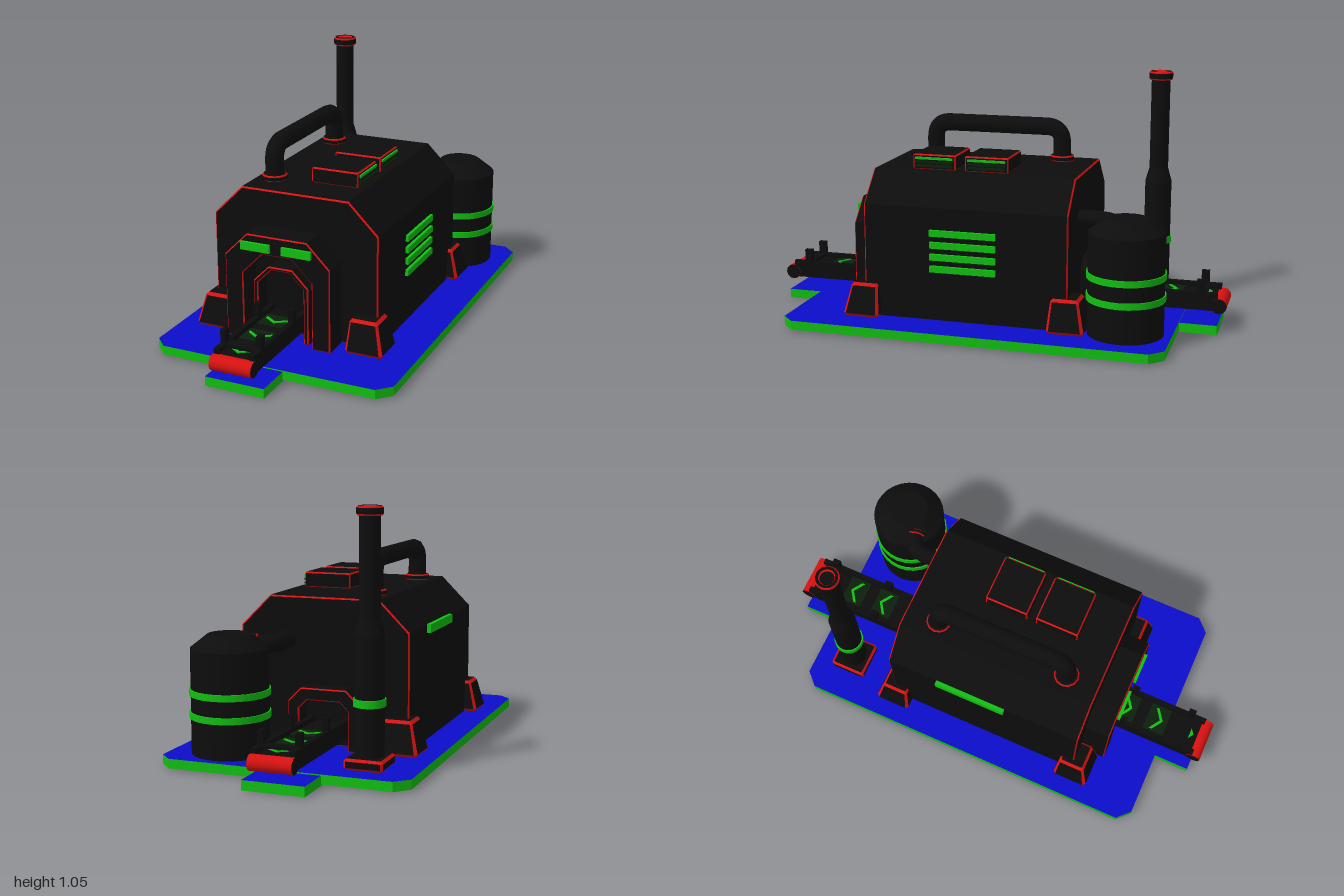
import * as THREE from 'three';

const mat = (name, color) => {
  const m = new THREE.MeshStandardMaterial({ color });
  m.name = name;
  return m;
};

export function createModel() {
  const dark = mat('charcoal', 0x0d0d0d);
  const red = mat('red trim', 0xd81111);
  const green = mat('green light', 0x11c011);
  const blue = mat('blue floor', 0x0d0dcc);
  const darkGreen = mat('dark green belt', 0x0c200c);
  const root = new THREE.Group();
  const CX = -0.0525; // centre line of the conveyor and portals

  const add = (name, geo, material, x = 0, y = 0, z = 0) => {
    const mesh = new THREE.Mesh(geo, material);
    mesh.name = name;
    mesh.position.set(x, y, z);
    root.add(mesh);
    return mesh;
  };
  const box = (name, material, w, h, d, x, y, z) =>
    add(name, new THREE.BoxGeometry(w, h, d), material, x, y, z);

  // Sort triangles into material groups by their face normal
  const paintFaces = (geo, pick, count) => {
    const g = geo.index ? geo.toNonIndexed() : geo;
    const p = g.attributes.position, old = g.attributes.normal;
    const bins = Array.from({ length: count }, () => []);
    const v = [0, 1, 2].map(() => new THREE.Vector3());
    const tri = new THREE.Triangle(), n = new THREE.Vector3();
    for (let i = 0; i < p.count; i += 3) {
      v.forEach((q, k) => q.fromBufferAttribute(p, i + k));
      tri.set(...v).getNormal(n);
      if (n.lengthSq() > 0.5) bins[pick(n)].push(i, i + 1, i + 2);
    }
    const out = new THREE.BufferGeometry(), pos = [], nor = [];
    let start = 0;
    bins.forEach((b, k) => {
      b.forEach(i => {
        pos.push(p.getX(i), p.getY(i), p.getZ(i));
        nor.push(old.getX(i), old.getY(i), old.getZ(i));
      });
      out.addGroup(start, b.length, k);
      start += b.length;
    });
    out.setAttribute('position', new THREE.Float32BufferAttribute(pos, 3));
    out.setAttribute('normal', new THREE.Float32BufferAttribute(nor, 3));
    return out;
  };
  const edgeMats = [dark, red];

  const extrude = (pts, depth, b) => new THREE.ExtrudeGeometry(
    new THREE.Shape(pts.map(q => new THREE.Vector2(...q))),
    { depth: depth - 2 * b, bevelEnabled: b > 0, bevelThickness: b, bevelSize: b, bevelOffset: -b, bevelSegments: 1 }
  ).translate(0, 0, b);

  // Prism along z whose end bevels are red
  const trimmedPrism = (name, pts, z0, z1, b = 0.006) => add(name, paintFaces(
    extrude(pts, z1 - z0, b),
    n => (Math.abs(n.z) > 0.1 && Math.abs(n.z) < 0.95 ? 1 : 0), 2), edgeMats, 0, 0, z0);

  const octagon = (hw, hd, c) => [
    [-hw + c, -hd], [hw - c, -hd], [hw, -hd + c], [hw, hd - c],
    [hw - c, hd], [-hw + c, hd], [-hw, hd - c], [-hw, -hd + c]];

  // Box standing on y = 0 with every edge bevelled in red
  const trimmedBox = (w, h, d, b) => paintFaces(
    extrude(octagon(w / 2, d / 2, b), h, b).rotateX(-Math.PI / 2),
    n => (Math.max(Math.abs(n.x), Math.abs(n.y), Math.abs(n.z)) < 0.95 ? 1 : 0), 2);

  const arch = (hw, top, c, cx = CX) => [
    [cx - hw, 0.045], [cx - hw, top - c], [cx - hw + c, top],
    [cx + hw - c, top], [cx + hw, top - c], [cx + hw, 0.045]];

  // Floor slabs: blue on top, green around the rim, dark underneath
  const slab = (name, pts, y, h, x) => add(name, paintFaces(
    extrude(pts, h, 0).rotateX(-Math.PI / 2),
    n => (n.y > 0.5 ? 0 : n.y < -0.5 ? 2 : 1), 3), [blue, green, dark], x, y, 0);
  slab('baseSlab', octagon(0.52, 0.81, 0.055), 0.006, 0.039, 0);
  slab('conveyorSlab', octagon(0.128, 0.967, 0.001), 0, 0.04, CX);

  // Main hall and portals
  trimmedPrism('hall', arch(0.365, 0.655, 0.128, -0.025), -0.39, 0.49);
  const portal = (name, outer, inner, z0, z1) =>
    trimmedPrism(name, [...arch(...outer), ...arch(...inner).reverse()], z0, z1, 0.005);
  portal('frontPortal', [0.233, 0.5, 0.1], [0.153, 0.42, 0.09], 0.485, 0.6);
  portal('frontInnerFrame', [0.123, 0.36, 0.07], [0.102, 0.345, 0.062], 0.485, 0.57);
  portal('backPortal', [0.153, 0.295, 0.055], [0.105, 0.245, 0.035], -0.47, -0.385);
  for (const s of [-1, 1])
    box('portalLight', green, 0.13, 0.034, 0.014, CX + s * 0.091, 0.452, 0.606);

  // Corner buttresses, leaning inward toward the top
  for (const sx of [-1, 1]) for (const sz of [-1, 1]) {
    const g = trimmedBox(0.165, 0.14, 0.16, 0.012);
    const p = g.attributes.position;
    for (let i = 0; i < p.count; i++) {
      const t = p.getY(i) / 0.14;
      p.setX(i, p.getX(i) * (1 - 0.28 * t) - sx * 0.0125 * t);
      p.setZ(i, p.getZ(i) * (1 - 0.28 * t) - sz * 0.01 * t);
    }
    g.computeVertexNormals();
    add('buttress', g, edgeMats, -0.028 + sx * 0.34, 0.045, sz > 0 ? 0.496 : -0.39);
  }

  // Side lights
  for (let i = 0; i < 4; i++)
    box('sideVent', green, 0.014, 0.027, 0.285, 0.346, 0.268 + i * 0.051, 0.055);
  box('leftLightBar', green, 0.018, 0.036, 0.315, -0.399, 0.515, -0.005);

  // Roof units with glowing louvres
  for (const z of [0, 0.23]) {
    add('roofUnit', trimmedBox(0.208, 0.067, 0.19, 0.006), edgeMats, 0.077, 0.653, z);
    for (let i = 0; i < 3; i++)
      box('roofLouvre', i === 2 ? green : darkGreen, 0.008, 0.01, 0.165, 0.184, 0.671 + i * 0.016, z);
  }

  // Pipes
  const pipe = (name, pts, r, sides) => {
    const path = new THREE.CurvePath();
    const v = pts.map(q => new THREE.Vector3(...q));
    let from = v[0];
    for (let i = 1; i < v.length - 1; i++) { // rounded elbows
      const bend = 0.07;
      const a = v[i].clone().add(v[i - 1].clone().sub(v[i]).setLength(bend));
      const b = v[i].clone().add(v[i + 1].clone().sub(v[i]).setLength(bend));
      path.add(new THREE.LineCurve3(from, a));
      path.add(new THREE.QuadraticBezierCurve3(a, v[i], b));
      from = b;
    }
    path.add(new THREE.LineCurve3(from, v[v.length - 1]));
    return add(name, new THREE.TubeGeometry(path, 80, r, sides), dark);
  };
  // Round part with red bevels, turned from a profile
  const trimmedRound = (profile, sides) => paintFaces(
    new THREE.LatheGeometry(profile.map(q => new THREE.Vector2(...q)), sides).toNonIndexed(),
    n => (Math.abs(n.y) > 0.2 && Math.abs(n.y) < 0.95 ? 1 : 0), 2);
  const disc = (r, h, b) => [[0, 0], [r - b, 0], [r, b], [r, h - b], [r - b, h], [0, h]];

  pipe('roofPipe', [[-0.185, 0.65, 0.345], [-0.185, 0.802, 0.345], [-0.185, 0.802, -0.238], [-0.185, 0.65, -0.238]], 0.039, 10);
  for (const z of [0.345, -0.238])
    add('roofPipeFlange', trimmedRound(disc(0.054, 0.026, 0.006), 12), edgeMats, -0.185, 0.654, z);
  pipe('tankPipe', [[0.132, 0.475, -0.38], [0.132, 0.475, -0.53], [0.25, 0.475, -0.56]], 0.037, 12);
  const flange = add('tankPipeFlange', trimmedRound(disc(0.045, 0.022, 0.005), 12), edgeMats, 0.195, 0.475, -0.546);
  flange.rotation.set(0, 0.25, -Math.PI / 2);

  // Tank
  add('tank', new THREE.CylinderGeometry(0.157, 0.157, 0.425, 28), dark, 0.285, 0.2575, -0.62);
  add('tankShoulder', new THREE.CylinderGeometry(0.088, 0.157, 0.055, 28), dark, 0.285, 0.4975, -0.62);
  for (const y of [0.204, 0.295])
    add('tankBand', new THREE.CylinderGeometry(0.163, 0.163, 0.027, 28), green, 0.285, y, -0.62);

  // Chimney
  const stack = (name, material, r1, r0, y0, y1) =>
    add(name, new THREE.CylinderGeometry(r1, r0, y1 - y0, 20), material, -0.315, (y0 + y1) / 2, -0.645);
  add('chimneyFoot', trimmedBox(0.16, 0.045, 0.16, 0.01), edgeMats, -0.315, 0.045, -0.645);
  stack('chimneyLower', dark, 0.058, 0.058, 0.085, 0.56);
  stack('chimneyTaper', dark, 0.041, 0.058, 0.56, 0.62);
  stack('chimneyUpper', dark, 0.041, 0.041, 0.62, 1.02);
  stack('chimneyBand', green, 0.064, 0.064, 0.285, 0.315);
  add('chimneyCap', trimmedRound(
    [[0.038, 0], [0.046, 0], [0.052, 0.007], [0.052, 0.03], [0.046, 0.037], [0.034, 0.037], [0.03, 0.028], [0, 0.028]], 20),
    edgeMats, -0.315, 1.009, -0.645);

  // Conveyor
  box('conveyorBed', dark, 0.15, 0.055, 1.9, CX, 0.117, 0);
  for (const s of [-1, 1])
    box('conveyorRail', dark, 0.022, 0.075, 1.92, CX + s * 0.077, 0.128, 0);
  const chevron = [[-0.05, -0.022], [0, 0.012], [0.05, -0.022], [0.05, -0.008], [0, 0.026], [-0.05, -0.008]];
  for (const s of [-1, 1]) {
    const roller = add('endRoller', new THREE.CylinderGeometry(0.033, 0.033, 0.18, 12), [red, dark, dark], CX, 0.112, s * 0.967);
    roller.rotation.z = Math.PI / 2;
    for (const z of [0.61, 0.758, 0.906]) {
      if (z < 0.9) box('beltPanel', darkGreen, 0.128, 0.004, 0.095, CX, 0.1465, s * z);
      const arrow = add('beltArrow', extrude(chevron, 0.004, 0).rotateX(-Math.PI / 2), green, CX, 0.148, s * z);
      arrow.rotation.y = s > 0 ? Math.PI : 0;
    }
    box('beltCrossbar', dark, 0.15, 0.012, 0.045, CX, 0.16, s * 0.892);
    for (const z of [0.62, 0.89]) for (const side of [-1, 1])
      box('guidePost', dark, 0.022, 0.06, 0.033, CX + side * 0.077, 0.19, s * z);
  }
  return root;
}
